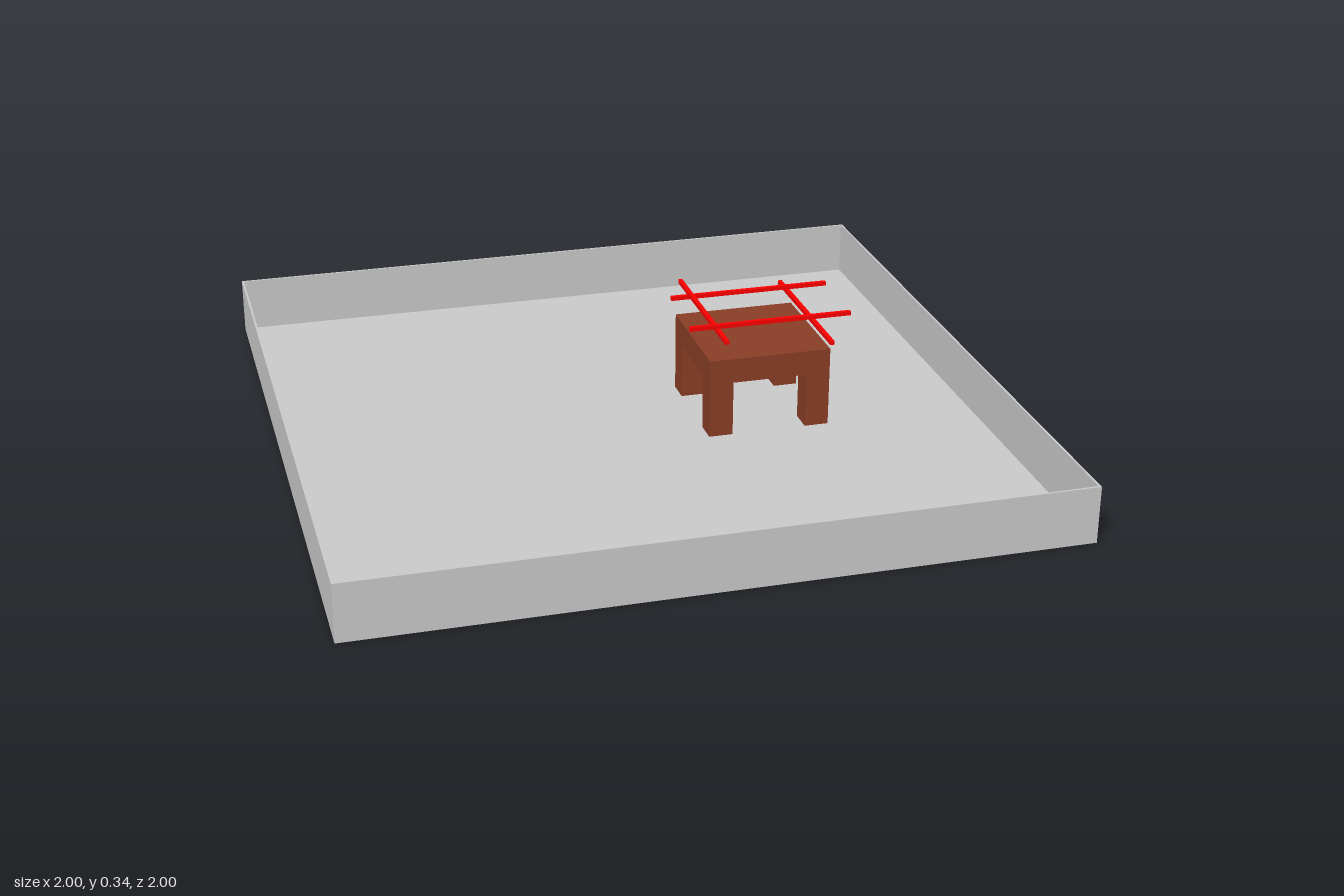
import * as THREE from 'three';

const grey = new THREE.MeshStandardMaterial({ color: 0xcccccc });
const brown = new THREE.MeshStandardMaterial({ color: 0x8b3e26 });
const red = new THREE.MeshStandardMaterial({ color: 0xff0000 });

function box(parent, name, material, size, position) {
  const mesh = new THREE.Mesh(new THREE.BoxGeometry(...size), material);
  mesh.name = name;
  mesh.position.set(...position);
  parent.add(mesh);
}

export function createModel() {
  const model = new THREE.Group();
  model.name = 'trayWithTable';

  // Open tray: thin floor and four thin walls
  const tray = new THREE.Group();
  tray.name = 'tray';
  const height = 0.165, wall = 0.006, base = 0.001;
  const wallHeight = height - base, wallY = base + wallHeight / 2;
  box(tray, 'floor', grey, [2, 0.004, 2], [0, base + 0.002, 0]);
  for (const s of [-1, 1]) {
    const offset = s * (1 - wall / 2);
    box(tray, s > 0 ? 'leftWall' : 'rightWall', grey, [wall, wallHeight, 2], [offset, wallY, 0]);
    box(tray, s > 0 ? 'frontWall' : 'backWall', grey, [2 - 2 * wall, wallHeight, wall], [0, wallY, offset]);
  }
  model.add(tray);

  // Table, whose legs just show through the floor
  const table = new THREE.Group();
  table.name = 'table';
  table.position.set(0.378, 0, -0.04);
  const width = 0.358, leg = 0.07, top = 0.24, slab = 0.073;
  box(table, 'tableTop', brown, [width, slab, width], [0, top - slab / 2, 0]);
  for (const x of [-1, 1]) for (const z of [-1, 1]) {
    const inset = (width - leg) / 2;
    box(table, 'tableLeg', brown, [leg, top - slab, leg], [x * inset, (top - slab) / 2, z * inset]);
  }
  model.add(table);

  // Four thin rods floating above the table at staggered heights
  const rods = new THREE.Group();
  rods.name = 'rods';
  const t = 0.012, length = 0.478;
  box(rods, 'frontRod', red, [length, t, t], [0.382, 0.337, 0.117]);
  box(rods, 'backRod', red, [length, t, t], [0.417, 0.302, -0.197]);
  box(rods, 'rightRod', red, [t, t, length], [0.23, 0.319, -0.043]);
  box(rods, 'leftRod', red, [t, t, length], [0.546, 0.278, -0.056]);
  model.add(rods);

  return model;
}
